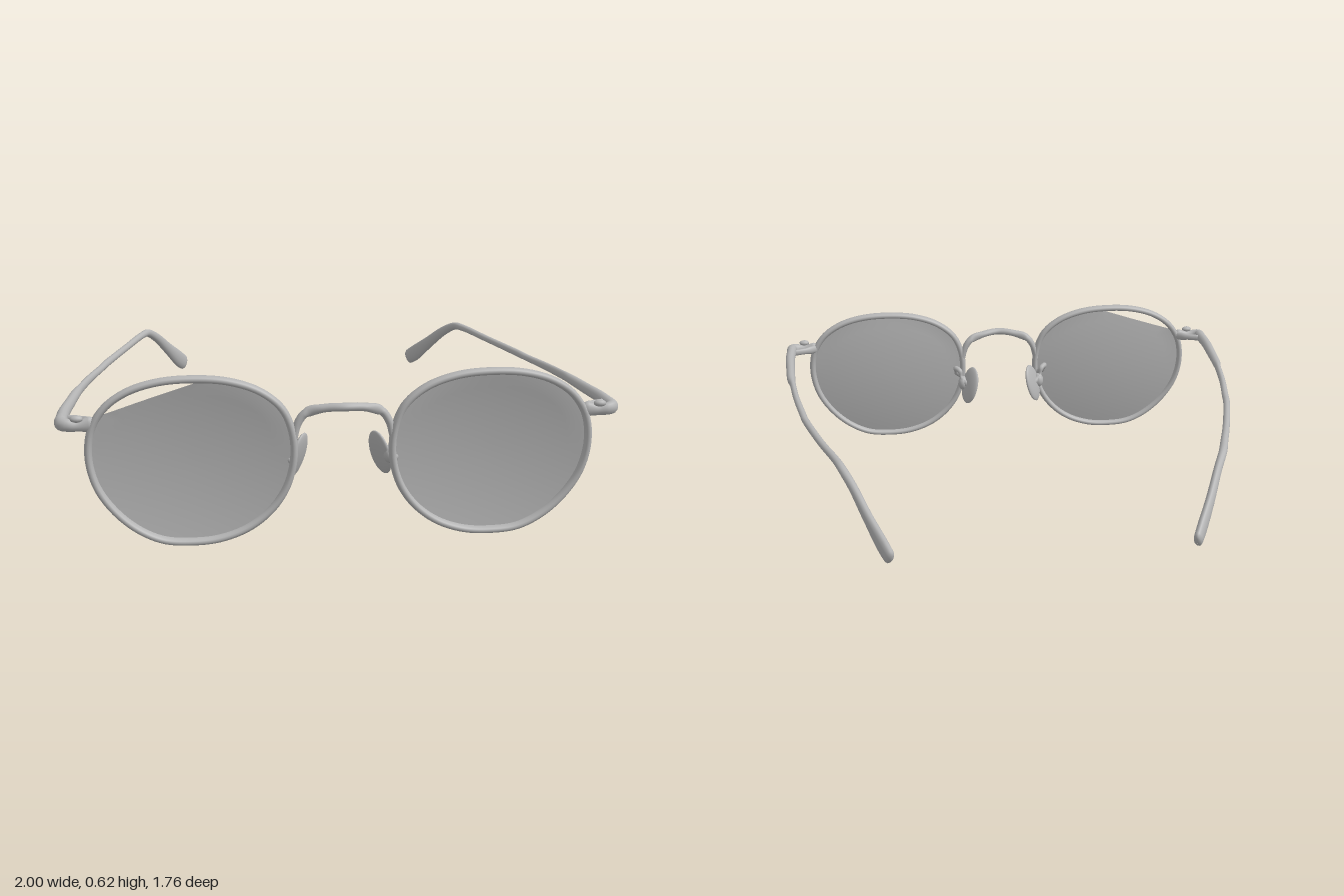
import * as THREE from 'three';

const grey = new THREE.MeshStandardMaterial({ color: 0xb4b4b4 });
grey.name = 'satin grey';
const lensGrey = new THREE.MeshStandardMaterial({ color: 0xb0b0b0, side: THREE.DoubleSide });
lensGrey.name = 'lens grey';

const RIM_Z = 0.838;
const V = (x, y, z) => new THREE.Vector3(x, y, z);

function addMesh(parent, name, geometry, material = grey) {
  const m = new THREE.Mesh(geometry, material);
  m.name = name;
  parent.add(m);
  return m;
}

function indexed(positions, index) {
  const g = new THREE.BufferGeometry();
  g.setAttribute('position', new THREE.Float32BufferAttribute(positions, 3));
  g.setIndex(index);
  g.computeVertexNormals();
  return g;
}

// Round-ended sweep through points [x, y, z, half width, half height]
function sweep(points, steps = 60, sides = 14) {
  const path = new THREE.CatmullRomCurve3(points.map((p) => V(p[0], p[1], p[2])));
  const size = new THREE.CatmullRomCurve3(points.map((p) => V(p[3], p[4], 0)));
  const pos = [], idx = [], rings = [];
  const caps = [0.02, 0.3, 0.6, 0.85];
  caps.forEach((c) => rings.push([0, c, -1]));
  for (let i = 0; i <= steps; i++) rings.push([i / steps, 1, 0]);
  caps.slice().reverse().forEach((c) => rings.push([1, c, 1]));
  rings.forEach(([u, k, dir], i) => {
    const t = path.getTangent(u), s = size.getPoint(u);
    const side = V(0, 1, 0).cross(t).normalize();
    const up = t.clone().cross(side);
    const c = path.getPoint(u).addScaledVector(t, dir * Math.min(s.x, s.y) * Math.sqrt(1 - k * k));
    for (let j = 0; j < sides; j++) {
      const a = (j / sides) * Math.PI * 2;
      const p = c.clone().addScaledVector(side, Math.cos(a) * s.x * k).addScaledVector(up, Math.sin(a) * s.y * k);
      pos.push(p.x, p.y, p.z);
      if (i < rings.length - 1) {
        const q = i * sides + j, r = i * sides + ((j + 1) % sides);
        idx.push(q, r, q + sides, r, r + sides, q + sides);
      }
    }
  });
  return indexed(pos, idx);
}

// Centre line of one rim, on the +x side
const RIM = [
  [0.53, 0.607], [0.40, 0.595], [0.29, 0.555], [0.215, 0.49], [0.18, 0.40], [0.177, 0.30],
  [0.205, 0.20], [0.26, 0.12], [0.34, 0.058], [0.44, 0.022], [0.54, 0.014], [0.64, 0.025],
  [0.73, 0.07], [0.81, 0.145], [0.865, 0.235], [0.887, 0.34], [0.873, 0.44], [0.825, 0.515],
  [0.75, 0.567], [0.65, 0.598],
];
const rimCurve = (s) => new THREE.CatmullRomCurve3(RIM.map(([x, y]) => V(s * x, y, 0)), true);

function rimGeometry(s) {
  const g = new THREE.TubeGeometry(rimCurve(s), 120, 0.0135, 12, true);
  g.scale(1, 1, 1.6);
  g.translate(0, 0, RIM_Z);
  return g;
}

// Thin shell dished towards the back; the broken lens is cut along a slanted line
function lensGeometry(s, broken) {
  const n = 120, rows = 10, cx = 0.53, cy = 0.3;
  const outline = rimCurve(s).getPoints(n).slice(0, n);
  const pos = [s * cx, cy, RIM_Z - 0.027], idx = [];
  for (let r = 1; r <= rows; r++) {
    outline.forEach((o, j) => {
      let y = o.y;
      const ax = Math.abs(o.x);
      if (broken && y > 0.4 && ax > 0.5) {
        y = Math.min(y, 0.597 - (ax - 0.5) * 0.32);
      }
      const f = r / rows;
      const px = s * cx + (o.x - s * cx) * f, py = cy + (y - cy) * f;
      const d = Math.min(1, ((px - s * cx) / 0.355) ** 2 + ((py - cy) / 0.3) ** 2);
      pos.push(px, py, RIM_Z - 0.027 * (1 - d));
      const k = (j + 1) % n, a = 1 + (r - 1) * n;
      if (r === 1) idx.push(0, 1 + j, 1 + k);
      else idx.push(a - n + j, a + j, a + k, a - n + j, a + k, a - n + k);
    });
  }
  return indexed(pos, idx);
}

function buildSide(s) {
  const side = new THREE.Group();
  side.name = s > 0 ? 'leftSide' : 'rightSide';
  const flip = (pts) => pts.map(([x, ...rest]) => [s * x, ...rest]);

  addMesh(side, 'rim', rimGeometry(s));
  addMesh(side, 'lens', lensGeometry(s, s < 0), lensGrey);

  // End piece, temple arm and drooping ear tip
  addMesh(side, 'endPiece', sweep(flip([
    [0.875, 0.458, 0.838, 0.017, 0.028], [0.92, 0.454, 0.840, 0.017, 0.02],
    [0.955, 0.458, 0.840, 0.02, 0.023], [0.975, 0.46, 0.825, 0.022, 0.025],
    [0.977, 0.462, 0.78, 0.021, 0.024],
  ]), 30));
  addMesh(side, 'temple', sweep(flip([
    [0.975, 0.462, 0.82, 0.022, 0.024], [0.977, 0.461, 0.70, 0.021, 0.023],
    [0.967, 0.459, 0.55, 0.019, 0.021], [0.957, 0.459, 0.43, 0.018, 0.019],
    [0.946, 0.46, 0.36, 0.013, 0.018], [0.922, 0.459, 0.20, 0.013, 0.016],
    [0.886, 0.458, 0.02, 0.014, 0.014], [0.874, 0.459, -0.04, 0.014, 0.015],
    [0.800, 0.469, -0.30, 0.014, 0.014], [0.735, 0.48, -0.50, 0.015, 0.015],
    [0.713, 0.475, -0.565, 0.016, 0.017], [0.675, 0.435, -0.64, 0.016, 0.021],
    [0.624, 0.358, -0.74, 0.017, 0.028], [0.575, 0.288, -0.825, 0.018, 0.037],
    [0.556, 0.265, -0.858, 0.017, 0.035],
  ]), 110));

  // Inner hinge arm and its screw
  addMesh(side, 'hinge', sweep(flip([
    [0.865, 0.458, 0.83, 0.011, 0.018], [0.89, 0.46, 0.808, 0.012, 0.018],
    [0.915, 0.462, 0.79, 0.009, 0.014], [0.955, 0.462, 0.775, 0.008, 0.014],
  ]), 20));
  const screw = addMesh(side, 'hingeScrew', new THREE.SphereGeometry(0.016, 14, 10));
  screw.position.set(s * 0.92, 0.482, 0.852);
  screw.scale.set(1.4, 0.8, 1);

  // Nose pad on a bent wire bracket
  const pad = addMesh(side, 'nosePad', new THREE.SphereGeometry(1, 28, 18));
  pad.scale.set(0.016, 0.088, 0.056);
  pad.position.set(s * 0.15, 0.285, 0.722);
  pad.rotation.set(0, s * 0.55, s * 0.27, 'YXZ');
  addMesh(side, 'padBracket', sweep(flip([
    [0.185, 0.30, 0.83, 0.013, 0.014], [0.208, 0.325, 0.80, 0.012, 0.013],
    [0.212, 0.352, 0.775, 0.012, 0.013], [0.195, 0.345, 0.757, 0.012, 0.013],
    [0.185, 0.31, 0.745, 0.012, 0.013], [0.16, 0.287, 0.73, 0.014, 0.016],
  ]), 40, 10));
  const joint = addMesh(side, 'padJoint', new THREE.SphereGeometry(1, 16, 12));
  joint.scale.set(0.024, 0.034, 0.03);
  joint.position.set(s * 0.18, 0.287, 0.752);
  return side;
}

export function createModel() {
  const model = new THREE.Group();
  model.name = 'eyeglasses';
  for (const s of [1, -1]) model.add(buildSide(s));

  // Arched bridge, pushed forward in the middle
  const half = [
    [0.178, 0.37, 0.836, 0.018, 0.012], [0.162, 0.435, 0.834, 0.018, 0.014],
    [0.135, 0.473, 0.836, 0.017, 0.015], [0.07, 0.494, 0.852, 0.017, 0.015],
  ];
  addMesh(model, 'bridge', sweep([
    ...half.map(([x, ...r]) => [-x, ...r]), [0, 0.5, 0.868, 0.017, 0.015], ...half.slice().reverse(),
  ], 60));
  return model;
}
